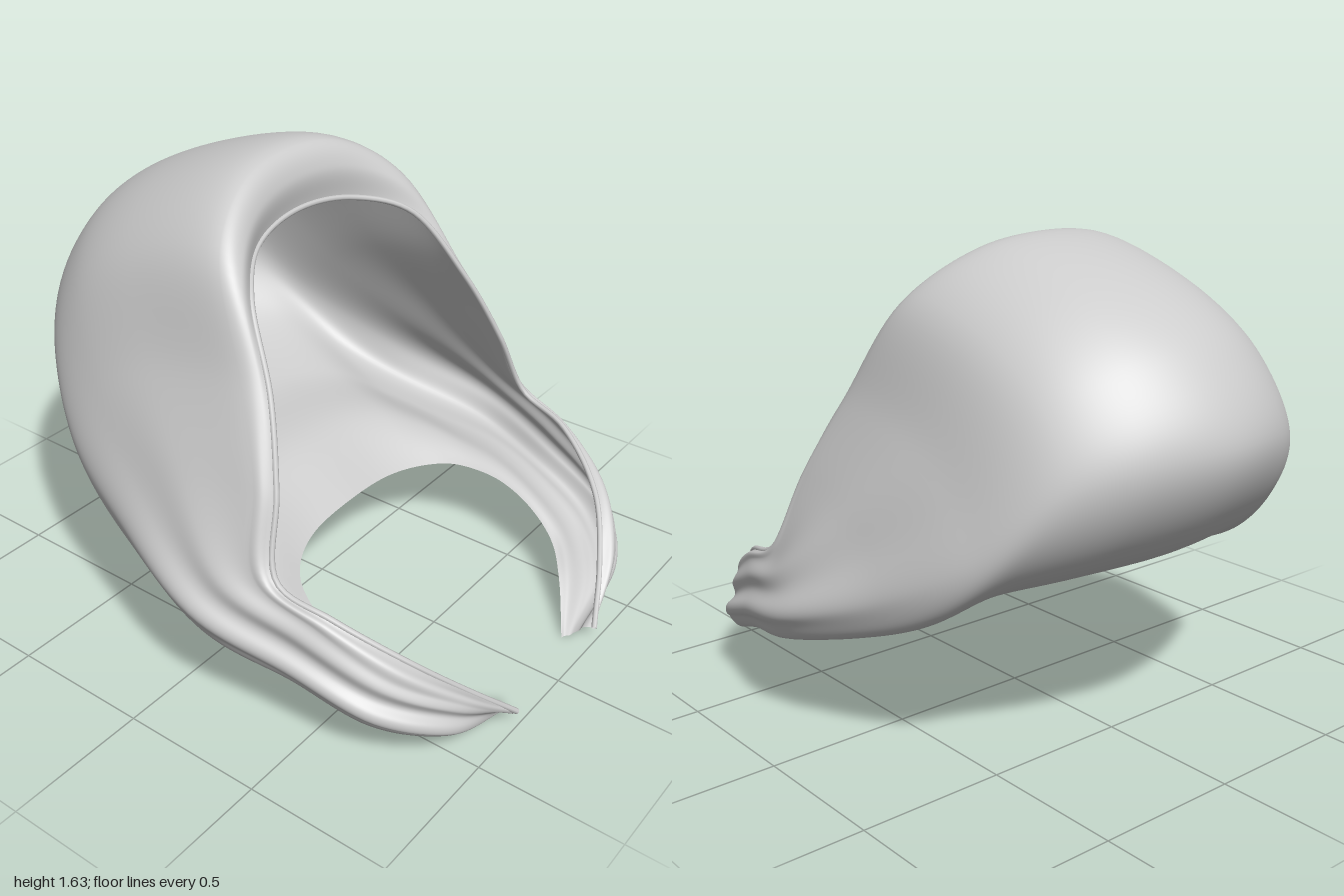
import * as THREE from 'three';

// Guide lines from the centre (x = 0) down the left side to the strap tip
const rim = [[0, 1.42, -.10], [.25, 1.39, -.06], [.43, 1.31, .06], [.54, 1.07, .22], [.64, .82, .32],
  [.73, .57, .39], [.70, .50, .58], [.58, .36, .79], [.42, .20, .91], [.26, .05, .99]];
const crest = [[0, 1.62, -.15], [.26, 1.58, -.12], [.47, 1.43, -.03], [.58, 1.10, .14], [.68, .84, .26],
  [.77, .58, .33], [.75, .48, .55], [.67, .34, .78], [.50, .21, .93], [.27, .04, .98]];
const back = [[0, 1.05, -1], [.28, 1.03, -.93], [.50, .95, -.78], [.66, .73, -.56], [.77, .56, -.25],
  [.87, .41, .15], [.81, .31, .48], [.73, .20, .76], [.55, .12, .92], [.25, .02, .94]];
const neck = [[0, .37, .13], [.22, .36, .14], [.36, .35, .19], [.45, .34, .26], [.50, .32, .34],
  [.53, .29, .43], [.52, .24, .56], [.47, .17, .69], [.36, .11, .79], [.20, 0, .90]];

// Mirror a half line into one smooth curve from right tip to left tip
function mirrored(half) {
  const left = half.map(p => new THREE.Vector3(...p));
  const right = half.slice(1).reverse().map(([x, y, z]) => new THREE.Vector3(-x, y, z));
  return new THREE.CatmullRomCurve3([...right, ...left]);
}

// Point between two guide lines, bulged in proportion to the gap; the x bulge widens with x
function between(a, b, t, bulgeX, bulgeY, bulgeZ) {
  const p = a.clone().lerp(b, t), gap = a.distanceTo(b);
  return p.add(new THREE.Vector3(p.x * bulgeX, bulgeY, bulgeZ).multiplyScalar(gap));
}

// Cross-section from the face opening, over the back, under to the collar and neck hole
function sectionAt(curves, t) {
  const [r, c, b, n] = curves.map(curve => curve.getPoint(t));
  return new THREE.CatmullRomCurve3([
    r, between(r, c, .5, 0, .08, .17),
    c, between(c, b, .38, 0, .11, -.1), between(c, b, .72, 0, .11, -.1),
    b, between(b, n, .25, .11, -.1, -.08), between(b, n, .52, .11, -.1, -.03), between(b, n, .82, .04, .015, -.02),
    n,
  ]);
}

// Skin the hood across its cross-sections
function skin(curves, nu, nv) {
  const pos = [], index = [];
  for (let i = 0; i <= nu; i++) {
    const section = sectionAt(curves, i / nu);
    for (let j = 0; j <= nv; j++) pos.push(...section.getPoint(j / nv).toArray());
  }
  for (let i = 0; i < nu; i++) {
    for (let j = 0; j < nv; j++) {
      const a = i * (nv + 1) + j, b = a + nv + 1;
      index.push(a, b, a + 1, b, b + 1, a + 1);
    }
  }
  const geo = new THREE.BufferGeometry();
  geo.setAttribute('position', new THREE.Float32BufferAttribute(pos, 3));
  geo.setIndex(index);
  geo.computeVertexNormals();
  return geo;
}

// Press soft cloth folds into the sides, running along the straps
function addFolds(geo, nu, nv) {
  const { position, normal } = geo.attributes;
  const p = new THREE.Vector3(), n = new THREE.Vector3();
  for (let i = 0; i <= nu; i++) {
    const u = Math.abs(2 * i / nu - 1);
    const strength = THREE.MathUtils.smoothstep(u, .25, .65) * (1 - THREE.MathUtils.smoothstep(u, .8, 1));
    for (let j = 0; j <= nv; j++) {
      const v = j / nv, k = i * (nv + 1) + j;
      const depth = .009 * strength * Math.sin(Math.PI * v) * Math.sin(v * 36 + u * 4);
      p.fromBufferAttribute(position, k).addScaledVector(n.fromBufferAttribute(normal, k), depth);
      position.setXYZ(k, p.x, p.y, p.z);
    }
  }
  geo.computeVertexNormals();
}

export function createModel() {
  const group = new THREE.Group();
  group.name = 'hood';
  const cloth = new THREE.MeshStandardMaterial({ color: 0xcccccc, side: THREE.DoubleSide });
  cloth.name = 'light grey cloth';

  const nu = 180, nv = 108;
  const geo = skin([rim, crest, back, neck].map(mirrored), nu, nv);
  addFolds(geo, nu, nv);
  const shell = new THREE.Mesh(geo, cloth);
  shell.name = 'hoodShell';
  group.add(shell);

  // Rolled hem around the face opening
  const hem = new THREE.Mesh(new THREE.TubeGeometry(mirrored(rim), 160, .01, 8), cloth);
  hem.name = 'openingHem';
  group.add(hem);
  return group;
}
